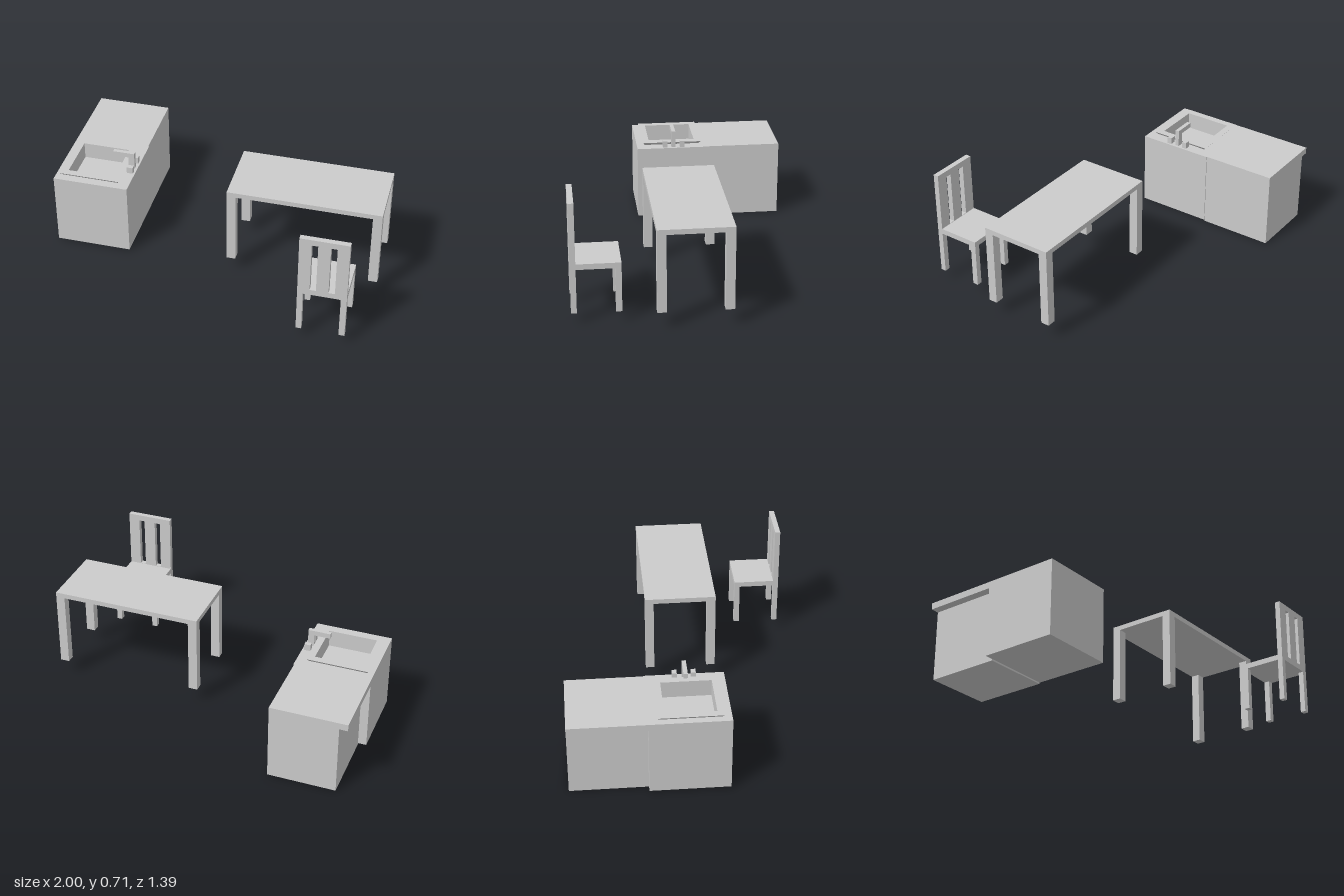
import * as THREE from 'three';

const mat = new THREE.MeshStandardMaterial({ color: 0xcccccc, flatShading: true });

// Box given by its lower and upper limits on each axis
function block(parent, name, [x0, x1], [y0, y1], [z0, z1]) {
  const mesh = new THREE.Mesh(new THREE.BoxGeometry(x1 - x0, y1 - y0, z1 - z0), mat);
  mesh.position.set((x0 + x1) / 2, (y0 + y1) / 2, (z0 + z1) / 2);
  mesh.name = name;
  parent.add(mesh);
  return mesh;
}

function rect(Type, x0, x1, y0, y1) {
  return new Type([[x0, y0], [x1, y0], [x1, y1], [x0, y1]].map(p => new THREE.Vector2(...p)));
}

function group(parent, name) {
  const g = new THREE.Group();
  g.name = name;
  parent.add(g);
  return g;
}

function buildSinkUnit(root) {
  const unit = group(root, 'sinkUnit');
  const cx = -0.785, cz = -0.015;
  block(unit, 'sinkCabinet', [-1, -0.54], [0.01, 0.37], [-0.25, 0.21]);

  // Upper cabinet, cut out for the basin
  const top = rect(THREE.Shape, -1, -0.54, -0.21, 0.25);
  top.holes.push(rect(THREE.Path, cx - 0.15, cx + 0.15, -cz - 0.15, -cz + 0.15));
  const counter = new THREE.Mesh(
    new THREE.ExtrudeGeometry(top, { depth: 0.1, bevelEnabled: false }), mat);
  counter.rotation.x = -Math.PI / 2;
  counter.position.y = 0.37;
  counter.name = 'sinkCounter';
  unit.add(counter);

  // Square rim and basin: four-sided lathe, profile of half-widths and heights
  const profile = [[0.172, 0.47], [0.188, 0.488], [0.145, 0.488], [0.145, 0.385], [0, 0.385]];
  const basin = new THREE.Mesh(new THREE.LatheGeometry(
    profile.map(([r, y]) => new THREE.Vector2(r * Math.SQRT2, y)), 4, Math.PI / 4), mat);
  basin.position.set(cx, 0, cz);
  basin.name = 'basin';
  unit.add(basin);

  // Tap and its two handles
  const tap = group(unit, 'tap');
  block(tap, 'tapPost', [-0.595, -0.557], [0.47, 0.545], [-0.033, -0.009]);
  block(tap, 'tapSpout', [-0.69, -0.557], [0.545, 0.575], [-0.033, -0.009]);
  for (const z of [-0.09, 0.018])
    block(tap, 'tapHandle', [-0.59, -0.552], [0.47, 0.51], [z, z + 0.028]);
}

function buildSideUnit(root) {
  const unit = group(root, 'sideUnit');
  block(unit, 'sideCabinet', [-0.95, -0.545], [0, 0.43], [-0.698, -0.25]);
  block(unit, 'sideWorktop', [-1, -0.545], [0.43, 0.47], [-0.698, -0.25]);
}

function buildTable(root) {
  const table = group(root, 'table');
  block(table, 'tableTop', [0.08, 0.995], [0.555, 0.585], [-0.196, 0.231]);
  for (const x of [0.08, 0.94])
    for (const z of [-0.196, 0.179])
      block(table, 'tableLeg', [x, x + 0.055], [0.094, 0.555], [z, z + 0.052]);
}

function buildChair(root) {
  const chair = group(root, 'chair');
  // Back panel and rear legs in one outline, with two slots
  const outline = [[0.605, 0.06], [0.637, 0.06], [0.637, 0.323], [0.853, 0.323],
    [0.853, 0.06], [0.887, 0.06], [0.887, 0.713], [0.605, 0.713]];
  const shape = new THREE.Shape(outline.map(p => new THREE.Vector2(...p)));
  for (const x of [0.675, 0.782])
    shape.holes.push(rect(THREE.Path, x, x + 0.036, 0.358, 0.676));
  const back = new THREE.Mesh(
    new THREE.ExtrudeGeometry(shape, { depth: 0.032, bevelEnabled: false }), mat);
  back.position.z = 0.664;
  back.name = 'chairBack';
  chair.add(back);

  block(chair, 'seat', [0.605, 0.887], [0.323, 0.356], [0.414, 0.664]);
  for (const x of [0.605, 0.854])
    block(chair, 'frontLeg', [x, x + 0.033], [0.06, 0.323], [0.414, 0.448]);
}

export function createModel() {
  const root = new THREE.Group();
  root.name = 'kitchenSet';
  buildSinkUnit(root);
  buildSideUnit(root);
  buildTable(root);
  buildChair(root);
  return root;
}
